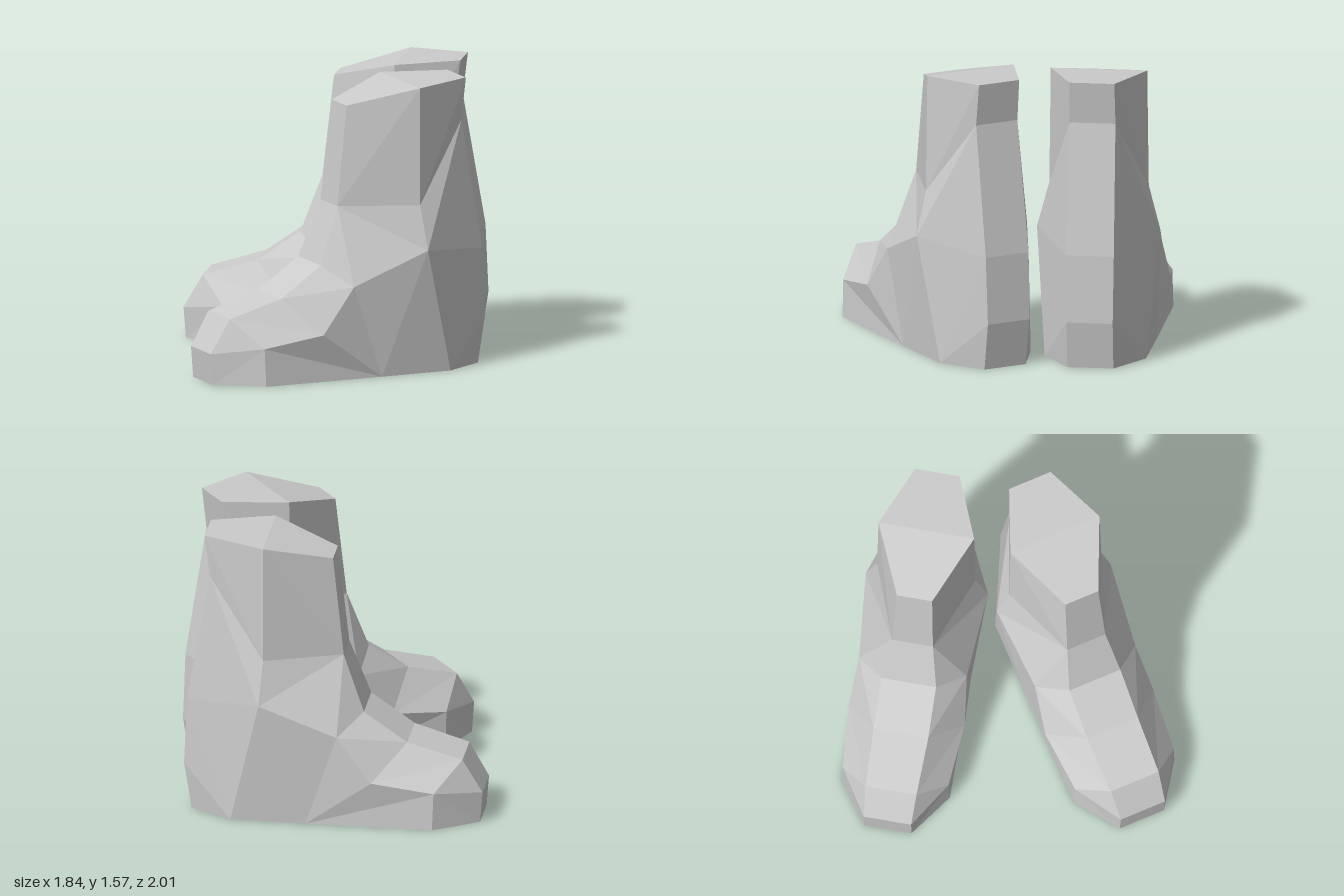
import * as THREE from 'three';

// Left half of one boot, as chains of [side, up, forward] points.
const ridge = [ // toe tip, over the instep, up the shaft front
  [0.13, 0, 0.80], [0.13, 0.17, 0.813], [0.14, 0.355, 0.705], [0.15, 0.445, 0.406],
  [0.15, 0.61, 0.17], [0.112, 0.92, 0.055], [0.097, 1.465, -0.005],
];
const side = [ // toe side, ankle, up the shaft side
  [0.297, 0, 0.56], [0.29, 0.205, 0.567], [0.318, 0.26, 0.23], [0.295, 0.505, 0.04],
  [0.335, 0.68, -0.38], [0.27, 0.92, -0.363], [0.262, 1.56, -0.365],
];
const heel = [ // up the back
  [0.125, 0, -0.77], [0.126, 0.26, -0.812], [0.13, 0.63, -0.795],
  [0.125, 1.34, -0.672], [0.122, 1.57, -0.70],
];
const arch = [0.286, 0, -0.13];
const heelSide = [0.275, 0, -0.54];

const mirror = ([x, y, z]) => [-x, y, z];

function bootGeometry() {
  const out = [];
  const tri = (a, b, c) => {
    if (a !== b && b !== c && c !== a) out.push(...a, ...b, ...c);
  };
  // Fill between two chains; repeated points make triangles
  const strip = (a, b, both) => {
    for (let i = 0; i < a.length - 1; i++) {
      for (const [p, q, r] of [[a[i], b[i], b[i + 1]], [a[i], b[i + 1], a[i + 1]]]) {
        if (p === q || q === r || r === p) continue;
        tri(p, q, r);
        if (both) tri(mirror(p), mirror(r), mirror(q));
      }
    }
  };
  const R = ridge, S = side, H = heel, M = heelSide;

  // Upper: ridge to side
  strip([R[0], R[1], R[2], R[3], R[4], R[5], R[5], R[5], R[6]],
    [S[0], S[1], S[1], S[2], S[3], S[3], S[4], S[5], S[6]], true);
  // Lower flank, fanned from the arch
  const flank = [...S.slice(0, 5), M];
  strip(flank, flank.map(() => arch), true);
  // Back quarter: side to heel
  strip([M, M, S[4], S[5], S[6]], H, true);
  // Band round the middle: heel, top, front, sole
  const band = [...H, S[6], ...[...R].reverse(), S[0], arch, M, H[0]];
  strip(band, band.map(mirror), false);

  const g = new THREE.BufferGeometry();
  g.setAttribute('position', new THREE.Float32BufferAttribute(out, 3));
  g.computeVertexNormals();
  return g;
}

export function createModel() {
  const group = new THREE.Group();
  group.name = 'boots';
  const material = new THREE.MeshStandardMaterial({ color: 0xcccccc, flatShading: true });
  const geometry = bootGeometry();
  for (const [name, x, z, turn] of [
    ['leftBoot', 0.455, 0.2, -0.397],
    ['rightBoot', -0.17, -0.455, -0.991],
  ]) {
    const boot = new THREE.Mesh(geometry, material);
    boot.name = name;
    boot.position.set(x, 0, z);
    boot.rotation.y = turn;
    group.add(boot);
  }
  return group;
}
